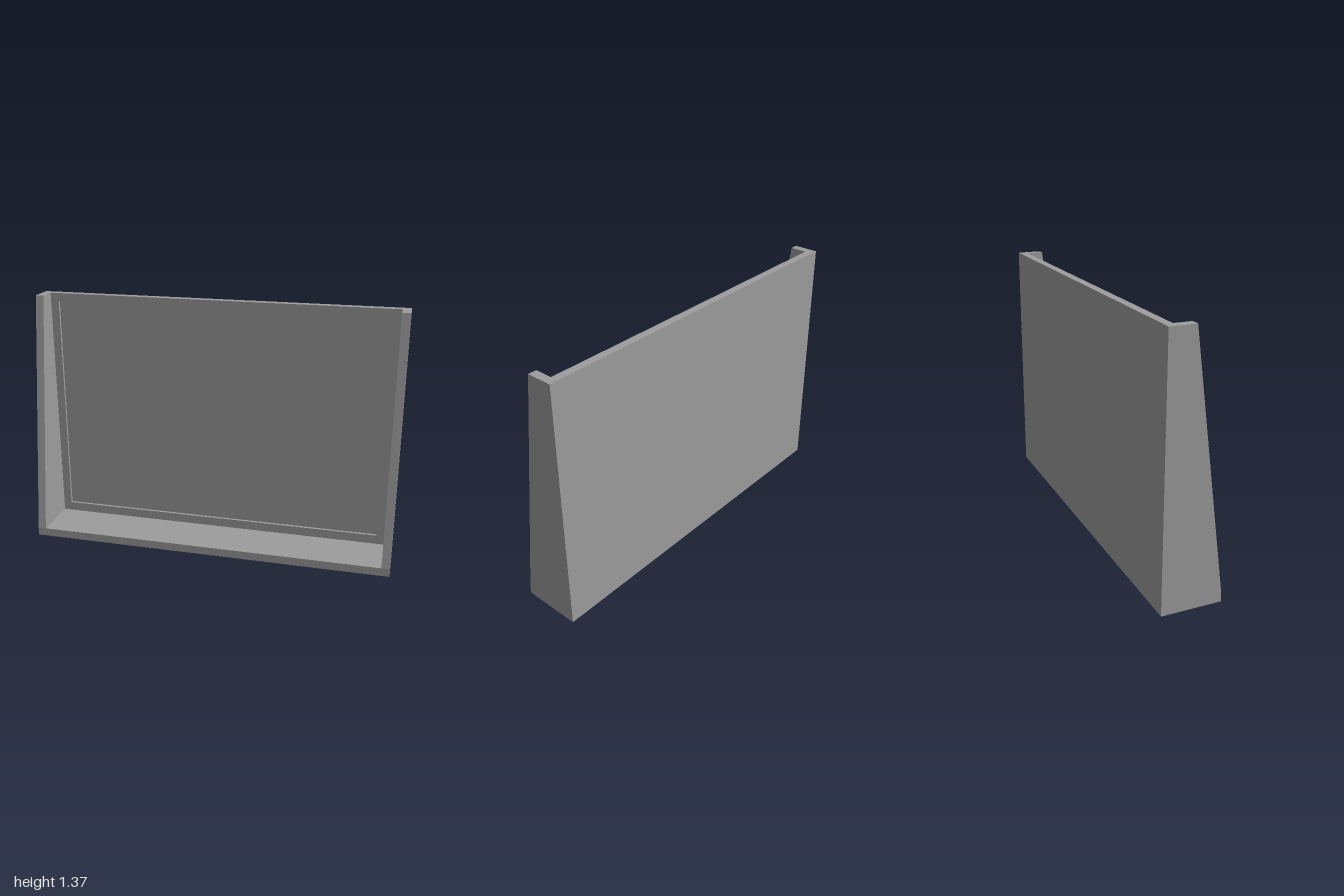
import * as THREE from 'three';

const W = 1, H = 1.365, D = 0.158; // half width, height, half depth
const T = 0.045;                   // board thickness
const BACK = -0.115;               // front face of the back board
const RECESS = 0.015;              // depth of the sunken panel

export function createModel() {
  const group = new THREE.Group();
  const material = new THREE.MeshStandardMaterial({ color: 0x9c9c9c, flatShading: true });

  const add = (name, geometry) => {
    const mesh = new THREE.Mesh(geometry, material);
    mesh.name = name;
    group.add(mesh);
    return mesh;
  };
  const box = (name, x0, x1, y0, y1, z0, z1) =>
    add(name, new THREE.BoxGeometry(x1 - x0, y1 - y0, z1 - z0))
      .position.set((x0 + x1) / 2, (y0 + y1) / 2, (z0 + z1) / 2);
  const rect = (Type, x0, x1, y0, y1) => new Type([
    [x0, y0], [x1, y0], [x1, y1], [x0, y1],
  ].map(([x, y]) => new THREE.Vector2(x, y)));

  // Tapered side boards: profile drawn as (-z, y), extruded along x
  const profile = new THREE.Shape([
    [-D, 0], [D, 0], [D, H], [0.023, H], [-D, T],
  ].map(([x, y]) => new THREE.Vector2(x, y)));
  for (const [name, x] of [['rightSide', -W], ['leftSide', W - T]]) {
    const geometry = new THREE.ExtrudeGeometry(profile, { depth: T, bevelEnabled: false });
    geometry.rotateY(Math.PI / 2);
    add(name, geometry).position.x = x;
  }

  // Bottom board
  const inner = W - T;
  box('bottomBoard', -inner, inner, 0, T, BACK, D);

  // Back board, with a frame around the sunken panel
  box('backPanel', -inner, inner, 0, H, -D, BACK - RECESS);
  const frame = rect(THREE.Shape, -inner, inner, 0, H);
  frame.holes.push(rect(THREE.Path, -0.91, 0.91, 0.095, 1.319));
  add('backFrame', new THREE.ExtrudeGeometry(frame, { depth: RECESS, bevelEnabled: false }))
    .position.z = BACK - RECESS;

  return group;
}
